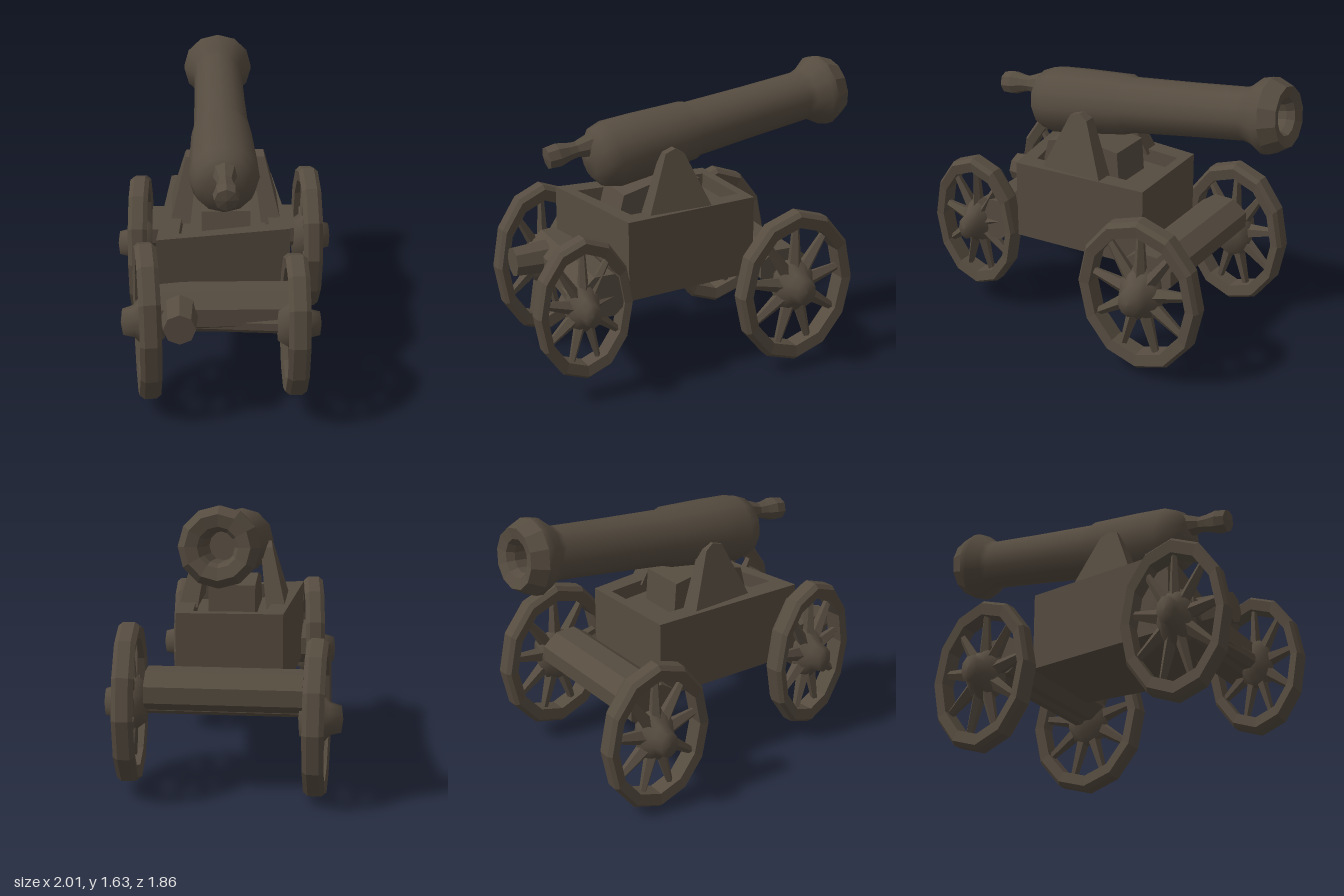
import * as THREE from 'three';

export function createModel() {
  const model = new THREE.Group();
  model.name = 'fieldCannon';
  const iron = new THREE.MeshStandardMaterial({ color: 0x564c40 });
  iron.name = 'weatheredBrown';

  // Carriage frame: local x runs toward the muzzle, local z to the side
  const frame = new THREE.Group();
  frame.name = 'cannon';
  frame.rotation.y = 0.66;
  model.add(frame);

  const flat = g => {
    const out = g.index ? g.toNonIndexed() : g;
    out.computeVertexNormals();
    return out;
  };
  const add = (name, geo, x = 0, y = 0, z = 0, parent = frame) => {
    const m = new THREE.Mesh(geo, iron);
    m.name = name;
    m.position.set(x, y, z);
    parent.add(m);
    return m;
  };
  const pts = a => a.map(p => new THREE.Vector2(p[0], p[1]));

  // Barrel: stepped tube with rounded breech, flared muzzle and open bore
  const barrel = new THREE.Group();
  barrel.name = 'barrel';
  barrel.position.set(-0.445, 1.22, -0.01);
  barrel.rotation.set(0, 0.008, 0.146);
  frame.add(barrel);
  const tube = new THREE.LatheGeometry(pts([
    [0, -0.07], [0.1, -0.06], [0.165, -0.01], [0.188, 0.07], [0.183, 0.25], [0.168, 0.54],
    [0.155, 0.57], [0.146, 0.95], [0.142, 1.27], [0.155, 1.31], [0.202, 1.38], [0.202, 1.42]]), 12);
  tube.rotateZ(-Math.PI / 2);
  add('barrelTube', tube, 0, 0, 0, barrel);
  const muzzle = new THREE.LatheGeometry(pts([
    [0.202, 1.42], [0.16, 1.505], [0.1, 1.49], [0.08, 1.45], [0.075, 1.15], [0, 1.15]]), 12);
  muzzle.rotateZ(-Math.PI / 2);
  add('muzzle', flat(muzzle), 0, 0, 0, barrel);
  const knob = new THREE.LatheGeometry(pts([
    [0, -0.3], [0.062, -0.29], [0.068, -0.23], [0.052, -0.17], [0.045, -0.12], [0.07, -0.03]]), 8);
  knob.rotateZ(-Math.PI / 2);
  add('breechKnob', flat(knob), 0, 0.08, 0, barrel);

  // Carriage body: solid floor with raised walls, drawn in plan
  const corners = [[-0.56, 0.37], [-0.43, -0.34], [0.36, -0.28], [0.34, 0.3]];
  const slab = (height, hole) => {
    const s = new THREE.Shape(pts(corners));
    if (hole) s.holes.push(new THREE.Path(pts(corners.map(c => [c[0] * 0.85, c[1] * 0.68]))));
    const g = new THREE.ExtrudeGeometry(s, { depth: height, bevelEnabled: false });
    return g.rotateX(-Math.PI / 2);
  };
  add('carriageFloor', slab(0.37, false), 0, 0.505, 0);
  add('carriageWalls', slab(0.08, true), 0, 0.875, 0);

  // Wedge bed under the breech
  const bed = new THREE.Shape(pts([[-0.42, 0.8], [0.12, 0.8], [0.1, 1.06], [-0.12, 1.09], [-0.36, 1.03]]));
  add('barrelBed', new THREE.ExtrudeGeometry(bed, { depth: 0.26, bevelEnabled: false }), 0, 0, -0.13);

  // Trunnion pins and leaning triangular brackets
  const pin = new THREE.CylinderGeometry(0.045, 0.045, 0.38, 8).rotateX(Math.PI / 2);
  add('trunnion', flat(pin), -0.1, 1.22, 0);
  const tri = new THREE.Shape(pts([[-0.29, 0.93], [0.1, 0.93], [-0.04, 1.25], [-0.09, 1.28], [-0.15, 1.26]]));
  for (const side of [1, -1]) {
    const g = new THREE.ExtrudeGeometry(tri, { depth: 0.09, bevelEnabled: false });
    g.translate(0, 0, -0.045);
    const p = g.attributes.position;
    for (let i = 0; i < p.count; i++) {
      const t = (p.getY(i) - 0.93) / 0.355;
      p.setZ(i, p.getZ(i) * (1.2 - 0.5 * t) + side * (0.245 - 0.07 * t));
    }
    g.computeVertexNormals();
    add(side > 0 ? 'leftBracket' : 'rightBracket', g);
  }

  // Heavy eight-sided axle beams
  const beam = (name, x, y, z, length, rx, ry) => {
    const g = new THREE.CylinderGeometry(1, 1, length, 8);
    g.rotateY(Math.PI / 8).rotateX(Math.PI / 2).scale(rx * 1.08, ry * 1.08, 1);
    return add(name, flat(g), x, y, z);
  };
  beam('frontAxle', 0.48, 0.568, 0, 0.84, 0.145, 0.108);
  beam('rearAxle', -0.59, 0.58, -0.01, 0.78, 0.135, 0.12);
  beam('frontSpindle', 0.505, 0.48, 0, 0.98, 0.045, 0.04);
  beam('rearSpindle', -0.665, 0.53, -0.03, 0.76, 0.05, 0.05).rotation.y = -0.09;

  // Stub at the rear of the axle
  const stub = new THREE.CylinderGeometry(0.085, 0.1, 0.2, 8).rotateZ(Math.PI / 2);
  add('rearStub', flat(stub), -0.775, 0.595, -0.25);

  // Wheels: unit-radius parts stretched to each wheel's width and height
  const rimGeo = flat(new THREE.LatheGeometry(pts([
    [0.8, -0.048], [0.95, -0.057], [1, -0.032], [1, 0.032], [0.95, 0.057], [0.8, 0.048], [0.8, -0.048]]), 12)
    .rotateX(Math.PI / 2));
  const hubGeo = new THREE.LatheGeometry(pts([
    [0, -0.1], [0.24, -0.09], [0.36, -0.02], [0.32, 0.03], [0.21, 0.07], [0.17, 0.13], [0, 0.14]]), 9)
    .rotateX(Math.PI / 2);
  const spokeGeo = flat(new THREE.CylinderGeometry(0.05, 0.11, 0.66, 5).scale(1, 1, 0.42).translate(0, 0.52, 0));
  const wheel = (name, x, y, z, rx, ry, yaw) => {
    const w = new THREE.Group();
    w.name = name;
    w.position.set(x, y, z);
    w.rotation.y = yaw + (z < 0 ? Math.PI : 0);
    w.scale.set(rx, ry, 1);
    add('rim', rimGeo, 0, 0, 0, w);
    add('hub', hubGeo, 0, 0, 0, w);
    for (let i = 0; i < 9; i++) add('spoke', spokeGeo, 0, 0, 0, w).rotation.z = i * Math.PI * 2 / 9;
    frame.add(w);
  };
  wheel('frontRightWheel', 0.522, 0.437, -0.494, 0.325, 0.437, -0.04);
  wheel('frontLeftWheel', 0.494, 0.49, 0.51, 0.364, 0.442, 0.04);
  wheel('rearRightWheel', -0.631, 0.52, -0.424, 0.3, 0.45, 0.1);
  wheel('rearLeftWheel', -0.704, 0.53, 0.355, 0.276, 0.402, 0.03);
  return model;
}
